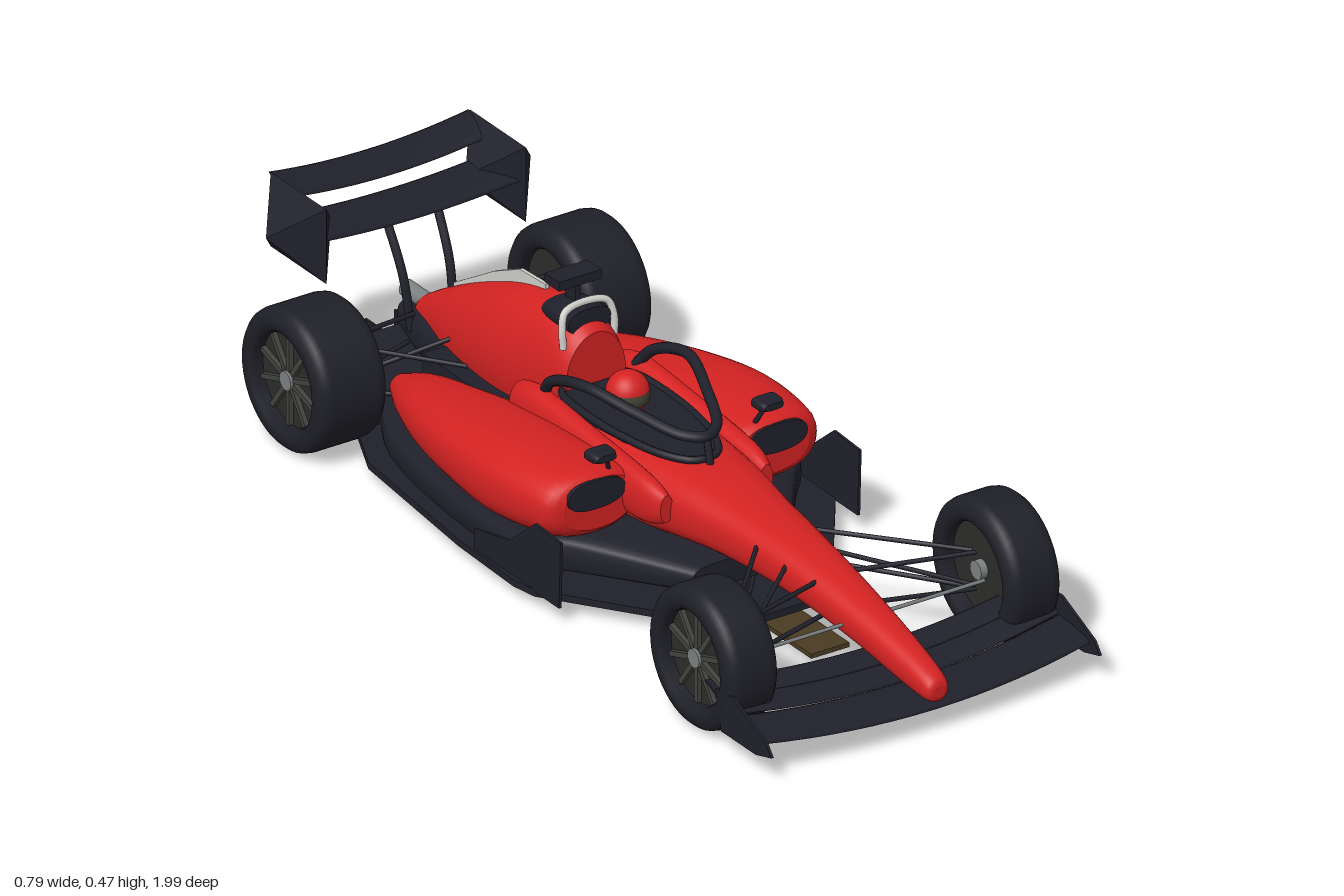
import * as THREE from 'three';

const V = (x, y, z) => new THREE.Vector3(x, y, z);

export function createModel() {
  const car = new THREE.Group();
  car.name = 'racingCar';
  const mat = (name, color) => Object.assign(new THREE.MeshStandardMaterial({ color }), { name });
  const red = mat('red paint', 0xd42222), dark = mat('dark carbon', 0x20202b), tyre = mat('tyre rubber', 0x1f1f28);
  const rim = mat('rim', 0x2c2c2b), spokeM = mat('spoke', 0x43433f), metal = mat('metal', 0x7c8080);
  const light = mat('light grey', 0xcfcfca), wood = mat('plank brown', 0x4a3c22), visorM = mat('visor', 0x4a4638);

  const add = (name, geo, m, parent = car) => {
    const mesh = new THREE.Mesh(geo, m);
    mesh.name = name;
    parent.add(mesh);
    return mesh;
  };
  const both = fn => [1, -1].forEach(s => fn(s, s > 0 ? 'left' : 'right'));

  // closed skin over rings of points, with flat end caps
  function skin(rings) {
    const pos = [], idx = [], n = rings[0].length, last = rings.length - 1;
    rings.forEach(r => r.forEach(p => pos.push(p.x, p.y, p.z)));
    for (let i = 0; i < last; i++) for (let j = 0; j < n; j++) {
      const k = (j + 1) % n, a = i * n + j, b = a + n, c = i * n + k, d = c + n;
      idx.push(a, b, c, c, b, d);
    }
    [0, last].forEach(i => {
      const base = pos.length / 3, mid = V(0, 0, 0);
      rings[i].forEach(p => { pos.push(p.x, p.y, p.z); mid.addScaledVector(p, 1 / n); });
      pos.push(mid.x, mid.y, mid.z);
      for (let j = 0; j < n; j++) {
        const a = base + j, b = base + (j + 1) % n;
        idx.push(base + n, i ? b : a, i ? a : b);
      }
    });
    const g = new THREE.BufferGeometry();
    g.setAttribute('position', new THREE.Float32BufferAttribute(pos, 3));
    g.setIndex(idx);
    g.computeVertexNormals();
    return g;
  }

  // body from front to back: each row is z, centre x, bottom, top, half width, squareness
  function loft(rows, steps = 5, seg = 32) {
    const fine = [];
    for (let i = 0; i < rows.length - 1; i++) for (let k = 0; k < steps; k++) {
      const t = k / steps, a = rows[Math.max(i - 1, 0)], b = rows[i], c = rows[i + 1], d = rows[Math.min(i + 2, rows.length - 1)];
      fine.push(b.map((v, q) => v + 0.5 * t * (c[q] - a[q] + t * (2 * a[q] - 5 * v + 4 * c[q] - d[q] + t * (3 * (v - c[q]) + d[q] - a[q])))));
    }
    fine.push(rows[rows.length - 1]);
    const pw = (v, e) => Math.sign(v) * Math.pow(Math.abs(v), 2 / e);
    return skin(fine.map(([z, cx, lo, hi, hw, e]) => Array.from({ length: seg }, (_, j) => {
      const a = j / seg * Math.PI * 2;
      return V(cx + hw * pw(Math.cos(a), e), (lo + hi) / 2 + (hi - lo) / 2 * pw(Math.sin(a), e), z);
    })));
  }

  // wing element whose ends are swept back and raised
  function wing(half, z, y, chord, thick, tilt, sweep, rise) {
    const rings = [];
    for (let i = 0; i <= 16; i++) {
      const x = half * (1 - i / 8), t = (x / half) ** 2;
      rings.push(Array.from({ length: 12 }, (_, j) => {
        const a = j / 12 * Math.PI * 2, c = Math.cos(a);
        return V(x, y + rise * t + thick * Math.sin(a) + tilt * c, z - sweep * t - chord / 2 * c);
      }));
    }
    return skin(rings);
  }

  const shape = pts => new THREE.Shape(pts.map(p => new THREE.Vector2(...p)));
  const extrude = (pts, depth) => new THREE.ExtrudeGeometry(shape(pts), { depth, bevelEnabled: false });
  // upright plate from z,y points; flat slab from x,z points
  const plate = (pts, x, t = 0.006) => extrude(pts, t).rotateY(-Math.PI / 2).translate(x + t / 2, 0, 0);
  const slab = (pts, top, t) => extrude(pts, t).rotateX(Math.PI / 2).translate(0, top, 0);
  const mirrored = half => [...half, ...half.slice().reverse().map(([x, z]) => [-x, z])];
  const rod = (a, b, r = 0.005) => new THREE.TubeGeometry(new THREE.LineCurve3(V(...a), V(...b)), 1, r, 8);
  const tube = (pts, r, n = 48) => new THREE.TubeGeometry(new THREE.CatmullRomCurve3(pts.map(p => V(...p))), n, r, 10);
  const box = (w, h, d, x, y, z) => new THREE.BoxGeometry(w, h, d).translate(x, y, z);

  // nose and monocoque
  add('noseAndTub', loft([
    [0.995, 0, 0.085, 0.11, 0.014, 2], [0.98, 0, 0.072, 0.128, 0.028, 2.2], [0.9, 0, 0.08, 0.155, 0.037, 2.3],
    [0.75, 0, 0.105, 0.19, 0.049, 2.4], [0.55, 0, 0.125, 0.225, 0.066, 2.5], [0.35, 0, 0.125, 0.245, 0.088, 2.6],
    [0.2, 0, 0.11, 0.258, 0.112, 2.7], [0, 0, 0.08, 0.262, 0.13, 3], [-0.3, 0, 0.08, 0.25, 0.125, 3]]), red);
  both((s, side) => add(side + 'CockpitShoulder', loft([
    [0.22, s * 0.118, 0.17, 0.23, 0.015, 2], [0.15, s * 0.122, 0.15, 0.25, 0.028, 2.3], [-0.05, s * 0.122, 0.15, 0.268, 0.03, 2.4],
    [-0.22, s * 0.12, 0.15, 0.28, 0.032, 2.4], [-0.29, s * 0.115, 0.16, 0.265, 0.03, 2.3]]), red));

  // cockpit opening, headrest and driver
  const opening = mirrored([[0.025, 0.18], [0.06, 0.13], [0.085, 0.02], [0.092, -0.1], [0.08, -0.2], [0.05, -0.225]]);
  add('cockpitOpening', slab(opening, 0.266, 0.03), dark);
  add('cockpitRim', new THREE.TubeGeometry(new THREE.CatmullRomCurve3(opening.map(([x, z]) => V(x, 0.264, z)), true), 64, 0.008, 8, true), dark);
  add('helmet', new THREE.SphereGeometry(0.044, 28, 20).translate(0, 0.293, -0.09), red);
  add('visor', new THREE.SphereGeometry(0.0455, 24, 8, 0.5, 2.14, 1.4, 0.6).translate(0, 0.293, -0.09), visorM);

  // halo
  add('haloHoop', tube([[-0.108, 0.265, -0.22], [-0.12, 0.31, -0.18], [-0.122, 0.352, -0.06], [-0.085, 0.335, 0.06], [-0.04, 0.315, 0.16],
    [0, 0.312, 0.185], [0.04, 0.315, 0.16], [0.085, 0.335, 0.06], [0.122, 0.352, -0.06], [0.12, 0.31, -0.18], [0.108, 0.265, -0.22]], 0.0115, 72), dark);
  add('haloPillar', rod([0, 0.245, 0.2], [0, 0.312, 0.185], 0.008), dark);

  // engine cover with intake, roll hoop, spine and camera
  add('engineCover', loft([
    [-0.2, 0, 0.18, 0.375, 0.07, 2], [-0.24, 0, 0.14, 0.395, 0.082, 2.1], [-0.32, 0, 0.1, 0.405, 0.09, 2], [-0.45, 0, 0.09, 0.378, 0.096, 1.9],
    [-0.6, 0, 0.09, 0.315, 0.075, 1.9], [-0.72, 0, 0.11, 0.25, 0.045, 2], [-0.79, 0, 0.14, 0.205, 0.028, 2]]), red);
  add('airIntake', loft([[-0.222, 0, 0.365, 0.418, 0.05, 2.4], [-0.3, 0, 0.36, 0.415, 0.05, 2.2], [-0.36, 0, 0.36, 0.385, 0.03, 2]], 3, 24), dark);
  add('rollHoop', tube([[-0.06, 0.345, -0.225], [-0.061, 0.385, -0.228], [-0.05, 0.417, -0.235], [0, 0.426, -0.24],
    [0.05, 0.417, -0.235], [0.061, 0.385, -0.228], [0.06, 0.345, -0.225]], 0.0075), light);
  add('spineFin', plate([[-0.37, 0.38], [-0.37, 0.408], [-0.46, 0.403], [-0.55, 0.36], [-0.69, 0.275], [-0.69, 0.25]], 0, 0.008), light);
  add('cameraPost', box(0.012, 0.06, 0.035, 0, 0.43, -0.28), dark);
  add('cameraPod', box(0.1, 0.02, 0.05, 0, 0.465, -0.28), dark);

  both((s, side) => {
    // sidepod with its inlet
    add(side + 'Sidepod', loft([
      [0.115, s * 0.205, 0.14, 0.25, 0.085, 2.2], [0.08, s * 0.215, 0.12, 0.262, 0.112, 2.4], [-0.08, s * 0.225, 0.1, 0.262, 0.12, 2.5],
      [-0.25, s * 0.212, 0.095, 0.242, 0.115, 2.4], [-0.42, s * 0.195, 0.09, 0.21, 0.09, 2.3], [-0.56, s * 0.17, 0.085, 0.175, 0.06, 2.1],
      [-0.66, s * 0.15, 0.085, 0.13, 0.025, 2]]), red);
    add(side + 'SidepodInlet', loft([[0.121, s * 0.215, 0.187, 0.25, 0.067, 2.4], [0.09, s * 0.215, 0.187, 0.25, 0.067, 2.4]], 1), dark);
    // bargeboard, mirror
    add(side + 'Bargeboard', plate([[0.195, 0.04], [0.2, 0.185], [0.11, 0.19], [0.02, 0.115], [-0.1, 0.09], [-0.1, 0.04]], s * 0.352), dark);
    add(side + 'Mirror', loft([[0.13, s * 0.197, 0.288, 0.303, 0.022, 3], [0.115, s * 0.197, 0.284, 0.306, 0.028, 4], [0.09, s * 0.197, 0.284, 0.306, 0.028, 4]], 2, 20), dark);
    add(side + 'MirrorStalk', rod([s * 0.185, 0.285, 0.11], [s * 0.165, 0.235, 0.09], 0.005), dark);
  });

  // floor, undercut bodywork and plank
  add('floor', slab(mirrored([[0.115, 0.45], [0.355, 0.11], [0.365, 0.05], [0.358, -0.15], [0.32, -0.52], [0.255, -0.66], [0.21, -0.7]]), 0.045, 0.015), dark);
  add('undercut', loft([[0.3, 0, 0.04, 0.1, 0.11, 4], [0.1, 0, 0.04, 0.13, 0.27, 5], [0, 0, 0.04, 0.12, 0.335, 5],
    [-0.25, 0, 0.04, 0.115, 0.33, 5], [-0.5, 0, 0.04, 0.11, 0.285, 5], [-0.66, 0, 0.04, 0.11, 0.2, 4]], 4), dark);
  add('engineBay', box(0.25, 0.09, 0.4, 0, 0.14, -0.42), dark);
  add('plank', box(0.09, 0.01, 1.37, 0, 0.025, -0.07), wood);
  [0.35, 0, -0.4].forEach((z, i) => add('skidBlock' + i, box(0.045, 0.003, 0.06, 0, 0.0195, z), metal));
  add('floorSensor', new THREE.ConeGeometry(0.016, 0.018, 4).rotateX(Math.PI).translate(0, 0.012, -0.02), dark);

  // diffuser with fins, gearbox and tail
  add('diffuser', plate([[-0.64, 0.035], [-0.64, 0.05], [-0.84, 0.128], [-0.84, 0.115]], 0, 0.43), dark);
  for (let i = 0; i < 7; i++) add('diffuserFin' + i, plate([[-0.66, 0.04], [-0.84, 0.125], [-0.9, 0.125], [-0.9, 0.04]], (i - 3) * 0.069, 0.005), dark);
  add('gearbox', loft([[-0.6, 0, 0.08, 0.2, 0.08, 3], [-0.74, 0, 0.1, 0.19, 0.06, 3], [-0.84, 0, 0.12, 0.18, 0.035, 3]]), dark);
  add('exhaust', new THREE.CylinderGeometry(0.018, 0.018, 0.08, 20).rotateX(Math.PI / 2).translate(0, 0.19, -0.82), metal);

  // front wing
  add('frontWingMain', wing(0.385, 0.925, 0.06, 0.115, 0.006, 0.006, 0.03, 0.022), dark);
  add('frontWingFlap', wing(0.385, 0.84, 0.075, 0.055, 0.004, 0.009, 0.025, 0.028), dark);
  add('frontWingUpperFlap', wing(0.385, 0.79, 0.094, 0.045, 0.004, 0.01, 0.02, 0.026), dark);
  both((s, side) => add(side + 'FrontEndplate', plate([[0.985, 0.06], [0.965, 0.085], [0.85, 0.135], [0.79, 0.13], [0.81, 0.045], [0.93, 0.045]], s * 0.387), dark));

  // rear wing with faceted endplates and pillars
  add('rearWingMain', wing(0.235, -0.855, 0.38, 0.11, 0.007, 0.008, 0, 0.012), dark);
  add('rearWingFlap', wing(0.235, -0.95, 0.428, 0.085, 0.005, 0.01, 0, 0.018), dark);
  both((s, side) => {
    const g = new THREE.OctahedronGeometry(1).rotateX(Math.PI / 4).scale(0.077, 0.082 * Math.SQRT2, 0.097 * Math.SQRT2);
    add(side + 'RearEndplate', g.translate(s * 0.235, 0.377, -0.888), dark);
    add(side + 'RearWingPillar', tube([[s * 0.05, 0.15, -0.77], [s * 0.055, 0.26, -0.79], [s * 0.06, 0.38, -0.85]], 0.009, 12), dark);
  });

  // wheels
  function wheel(name, x, z, half) {
    const g = new THREE.Group(), s = Math.sign(x), h = half;
    g.name = name;
    g.position.set(x, 0.155, z);
    car.add(g);
    const prof = [[0.1, -h + 0.012], [0.108, -h + 0.002], [0.122, -h], [0.138, -h + 0.004], [0.147, -h + 0.014], [0.15, -h + 0.028],
      [0.15, h - 0.028], [0.147, h - 0.014], [0.138, h - 0.004], [0.122, h], [0.108, h - 0.002], [0.1, h - 0.012], [0.1, -h + 0.012]];
    add('tyre', new THREE.LatheGeometry(prof.map(p => new THREE.Vector2(...p)), 48).rotateZ(Math.PI / 2), tyre, g);
    add('rimDisc', new THREE.CylinderGeometry(0.102, 0.102, 2 * h - 0.056, 40).rotateZ(Math.PI / 2), rim, g);
    for (let i = 0; i < 10; i++)
      add('spoke' + i, box(0.012, 0.085, 0.011, s * (h - 0.024), 0.055, 0).rotateX(i * Math.PI / 5), spokeM, g);
    add('hub', new THREE.CylinderGeometry(0.02, 0.02, 2 * h - 0.024, 20).rotateZ(Math.PI / 2), metal, g);
  }
  both((s, side) => {
    wheel(side + 'FrontWheel', s * 0.333, 0.7, 0.06);
    wheel(side + 'RearWheel', s * 0.313, -0.72, 0.08);
    // suspension arms
    [[[0.06, 0.205, 0.45], [0.285, 0.195, 0.69]], [[0.045, 0.195, 0.63], [0.285, 0.195, 0.7]],
      [[0.07, 0.135, 0.45], [0.285, 0.115, 0.69]], [[0.045, 0.13, 0.65], [0.285, 0.115, 0.7]],
      [[0.05, 0.2, 0.54], [0.28, 0.125, 0.7]],
      [[0.1, 0.2, -0.5], [0.25, 0.2, -0.71]], [[0.05, 0.19, -0.76], [0.25, 0.2, -0.73]],
      [[0.11, 0.11, -0.52], [0.25, 0.11, -0.71]], [[0.05, 0.12, -0.78], [0.25, 0.11, -0.73]],
      [[0.07, 0.21, -0.6], [0.25, 0.12, -0.72]]
    ].forEach(([a, b], i) => add(side + 'SuspensionArm' + i, rod([s * a[0], a[1], a[2]], [s * b[0], b[1], b[2]]), dark));
  });
  add('steeringRod', rod([-0.285, 0.146, 0.73], [0.285, 0.146, 0.73], 0.004), metal);

  return car;
}
